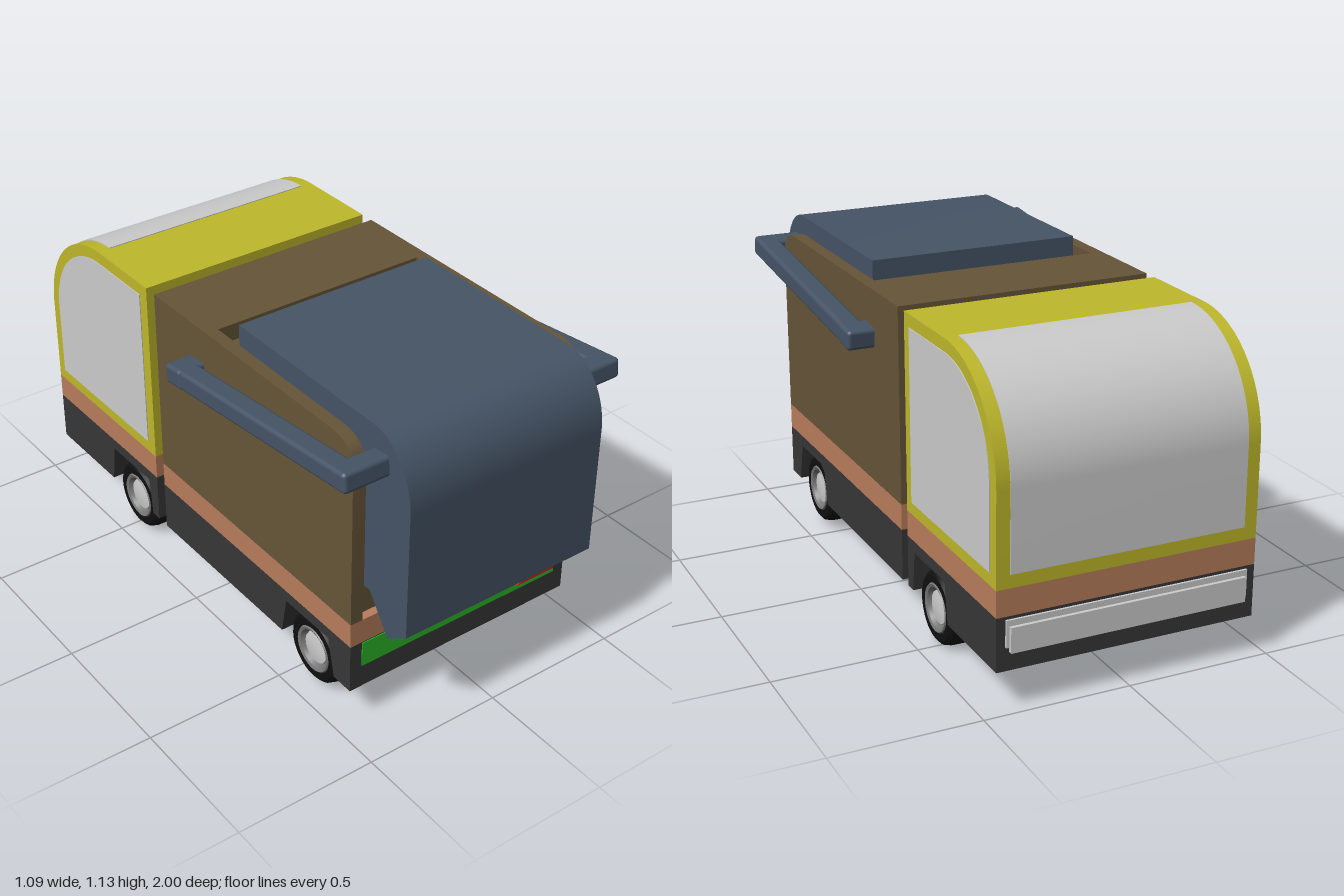
import * as THREE from 'three';
import { toCreasedNormals } from 'three/addons/utils/BufferGeometryUtils.js';
import { RoundedBoxGeometry } from 'three/addons/geometries/RoundedBoxGeometry.js';

const mat = (color) => new THREE.MeshStandardMaterial({ color, side: THREE.DoubleSide });
const M = {
  brown: mat(0x665538), copper: mat(0xb87d5c), dark: mat(0x373737), blue: mat(0x455466),
  yellow: mat(0xbeb82b), grey: mat(0xcccccc), green: mat(0x2cb827), red: mat(0xdd1818),
  tyre: mat(0x101010), rim: mat(0x777777),
};

function add(parent, name, geometry, material, x = 0, y = 0, z = 0) {
  const mesh = new THREE.Mesh(geometry, material);
  mesh.name = name;
  mesh.position.set(x, y, z);
  parent.add(mesh);
  return mesh;
}

// Box given by its limits on each axis
function block(parent, name, material, [x0, x1], [y0, y1], [z0, z1]) {
  return add(parent, name, new THREE.BoxGeometry(x1 - x0, y1 - y0, z1 - z0), material,
    (x0 + x1) / 2, (y0 + y1) / 2, (z0 + z1) / 2);
}

// Side profile drawn in (z, y), extruded along x and centred
function sideExtrude(shape, width) {
  const g = new THREE.ExtrudeGeometry(shape, { depth: width, bevelEnabled: false, curveSegments: 20 });
  g.translate(0, 0, -width / 2);
  g.rotateY(-Math.PI / 2);
  return toCreasedNormals(g, 0.5);
}

const polygon = (pts) => new THREE.Shape(pts.map(([a, b]) => new THREE.Vector2(a, b)));

// Cab outline with a large round shoulder, inset by d
function cabShape(d) {
  const s = new THREE.Shape();
  s.moveTo(-0.31 - d, 0.415 + d);
  s.lineTo(-0.31 - d, 1.09 - d);
  s.lineTo(-0.62, 1.09 - d);
  s.absarc(-0.62, 0.73, 0.36 - d, Math.PI / 2, Math.PI, false);
  s.lineTo(-0.98 + d, 0.415 + d);
  return s;
}

// Chassis section with a trapezoid wheel arch
function chassis(parent, name, [za, zb], arch) {
  const [a, b, c, d] = arch;
  const s = polygon([[za, 0.145], [a, 0.145], [b, 0.285], [c, 0.285], [d, 0.145],
    [zb, 0.145], [zb, 0.325], [za, 0.325]]);
  add(parent, name, sideExtrude(s, 0.9), M.dark);
}

function wheel(parent, name, side, y, z) {
  const g = new THREE.Group();
  g.name = name;
  const lathe = (pts) => {
    const geo = new THREE.LatheGeometry(pts.map(([r, h]) => new THREE.Vector2(r, h)), 32);
    return toCreasedNormals(geo.toNonIndexed(), 0.6);
  };
  add(g, 'tyre', lathe([[0, -0.075], [0.122, -0.075], [0.128, -0.065], [0.128, 0.045],
    [0.122, 0.067], [0.11, 0.077], [0.085, 0.077], [0.08, 0.05], [0, 0.05]]), M.tyre);
  add(g, 'rim', lathe([[0.085, 0.072], [0.08, 0.08], [0.07, 0.076], [0.06, 0.055], [0, 0.055]]), M.rim);
  add(g, 'hubCap', lathe([[0.059, 0.055], [0.055, 0.066], [0.03, 0.07], [0, 0.071]]), M.grey);
  g.rotation.z = -side * Math.PI / 2;
  g.position.set(side * 0.353, y, z);
  parent.add(g);
}

export function createModel() {
  const root = new THREE.Group();
  root.name = 'wasteTruck';

  // Chassis, trim stripes and the joint between the two halves
  chassis(root, 'bodyChassis', [0.82, -0.26], [0.735, 0.705, 0.475, 0.45]);
  chassis(root, 'cabChassis', [-0.31, -0.98], [-0.35, -0.365, -0.605, -0.625]);
  block(root, 'bodyStripe', M.copper, [-0.45, 0.45], [0.325, 0.415], [-0.26, 0.82]);
  block(root, 'cabStripe', M.copper, [-0.45, 0.45], [0.325, 0.415], [-0.98, -0.31]);
  block(root, 'joint', M.dark, [-0.405, 0.405], [0.145, 1.04], [-0.32, -0.25]);

  // Container: recessed core between two side walls with a rounded rear corner
  const core = polygon([[-0.26, 0.415], [0.79, 0.415], [0.79, 0.98], [0.75, 1.03],
    [0.05, 1.03], [0.05, 1.09], [-0.26, 1.09]]);
  add(root, 'containerCore', sideExtrude(core, 0.81), M.brown);
  const wall = new THREE.Shape();
  wall.moveTo(-0.26, 0.415);
  wall.lineTo(0.82, 0.415);
  wall.lineTo(0.82, 1.01);
  wall.quadraticCurveTo(0.81, 1.085, 0.72, 1.09);
  wall.lineTo(-0.26, 1.09);
  const wallGeo = sideExtrude(wall, 0.045);

  // Lid that curves over the end of the container
  const lid = new THREE.Shape();
  lid.moveTo(0.13, 1.02);
  lid.lineTo(0.13, 1.135);
  lid.lineTo(0.82, 1.135);
  lid.absellipse(0.82, 0.91, 0.18, 0.225, Math.PI / 2, 0, true);
  [[1.0, 0.45], [0.91, 0.39], [0.82, 0.52], [0.78, 0.52], [0.78, 1.02]].forEach(([z, y]) => lid.lineTo(z, y));
  add(root, 'lid', sideExtrude(lid, 0.756), M.blue);

  // Cab shell
  add(root, 'cab', sideExtrude(cabShape(0), 0.9), M.yellow);
  const windowGeo = sideExtrude(cabShape(0.043), 0.006);

  // Windscreen: thin strip following the round shoulder
  const screen = new THREE.Shape();
  screen.moveTo(-0.625, 1.093);
  screen.absarc(-0.62, 0.73, 0.363, Math.PI / 2, Math.PI, false);
  screen.lineTo(-0.983, 0.46);
  screen.lineTo(-0.975, 0.46);
  screen.absarc(-0.62, 0.73, 0.355, Math.PI, Math.PI / 2, true);
  add(root, 'windscreen', sideExtrude(screen, 0.81), M.grey);

  // Bumper plates at the cab end
  block(root, 'bumperPlate', M.grey, [-0.42, 0.42], [0.225, 0.315], [-0.988, -0.97]);
  block(root, 'bumperBar', M.grey, [-0.41, 0.41], [0.21, 0.295], [-1.0, -0.985]);

  // Marker panel and red wedge under the lid
  block(root, 'markerPanel', M.green, [-0.405, 0.405], [0.23, 0.322], [0.81, 0.823]);
  const wedge = polygon([[0.235, 0.25], [0.4, 0.25], [0.4, 0.305]]);
  add(root, 'markerWedge', new THREE.ExtrudeGeometry(wedge, { depth: 0.008, bevelEnabled: false }),
    M.red, 0, 0, 0.82);

  // Mirrored parts
  for (const side of [-1, 1]) {
    const label = side > 0 ? 'left' : 'right';
    add(root, label + 'ContainerWall', wallGeo, M.brown, side * 0.4275);
    add(root, label + 'Window', windowGeo, M.grey, side * 0.45);

    // Lifting arm: tilted bar with inward stubs at both ends
    const arm = new THREE.Group();
    arm.name = label + 'LiftArm';
    arm.position.set(0, 0.976, 0.42);
    arm.rotation.x = -0.106;
    add(arm, 'armBar', new RoundedBoxGeometry(0.077, 0.07, 0.96, 3, 0.014), M.blue, side * 0.503);
    add(arm, 'lidStub', new RoundedBoxGeometry(0.19, 0.07, 0.08, 3, 0.014), M.blue, side * 0.445, 0, 0.44);
    add(arm, 'pivotStub', new RoundedBoxGeometry(0.115, 0.07, 0.09, 3, 0.014), M.blue, side * 0.486, 0, -0.435);
    root.add(arm);

    wheel(root, label + 'LidEndWheel', side, 0.152, 0.595);
    wheel(root, label + 'CabEndWheel', side, 0.136, -0.485);
  }

  // Axles
  for (const [y, z] of [[0.152, 0.595], [0.136, -0.485]]) {
    const axle = add(root, 'axle', new THREE.CylinderGeometry(0.05, 0.05, 0.6, 20), M.tyre, 0, y, z);
    axle.rotation.z = Math.PI / 2;
  }
  return root;
}
